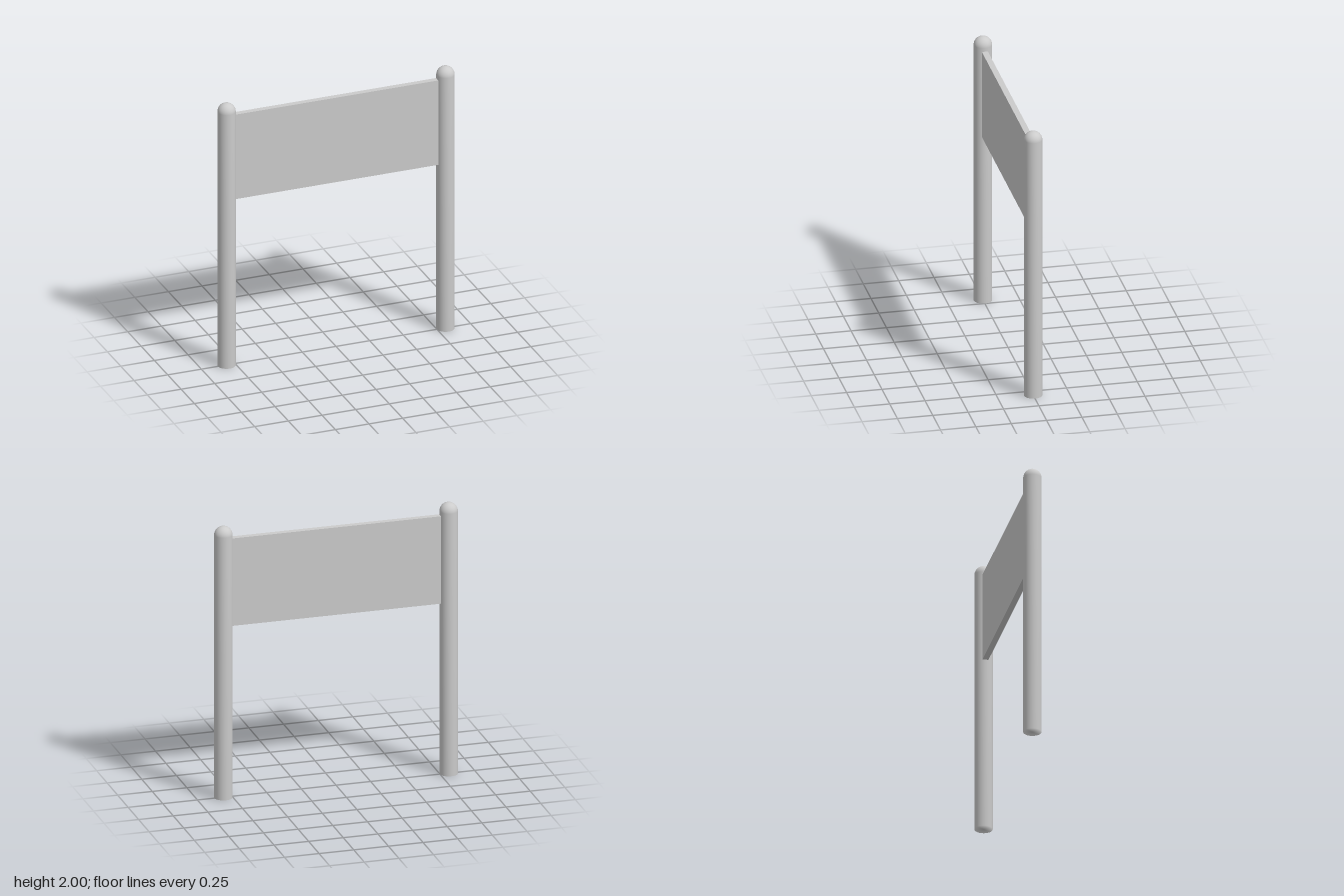
import * as THREE from 'three';

const RADIUS = 0.064;
const HEIGHT = 2;
const POST_X = 0.813;

// Round post with a flat foot and a domed top, smooth all over
function postGeometry() {
  const profile = [new THREE.Vector2(0, 0), new THREE.Vector2(RADIUS, 0)];
  const steps = 10;
  for (let i = 0; i <= steps; i++) {
    const a = (i / steps) * Math.PI / 2;
    const r = i === steps ? 0 : RADIUS * Math.cos(a);
    profile.push(new THREE.Vector2(r, HEIGHT - RADIUS + RADIUS * Math.sin(a)));
  }
  return new THREE.LatheGeometry(profile, 32);
}

export function createModel() {
  const model = new THREE.Group();
  model.name = 'signBoard';
  const material = new THREE.MeshStandardMaterial({ color: 0xcccccc });

  // Two matching posts
  const geometry = postGeometry();
  for (const [name, side] of [['leftPost', 1], ['rightPost', -1]]) {
    const post = new THREE.Mesh(geometry, material);
    post.name = name;
    post.position.x = side * POST_X;
    model.add(post);
  }

  // Flat board let into the posts
  const bottom = 1.265, top = 1.91;
  const board = new THREE.Mesh(new THREE.BoxGeometry(2 * POST_X - 0.08, top - bottom, 0.042), material);
  board.name = 'board';
  board.position.y = (bottom + top) / 2;
  model.add(board);

  return model;
}
